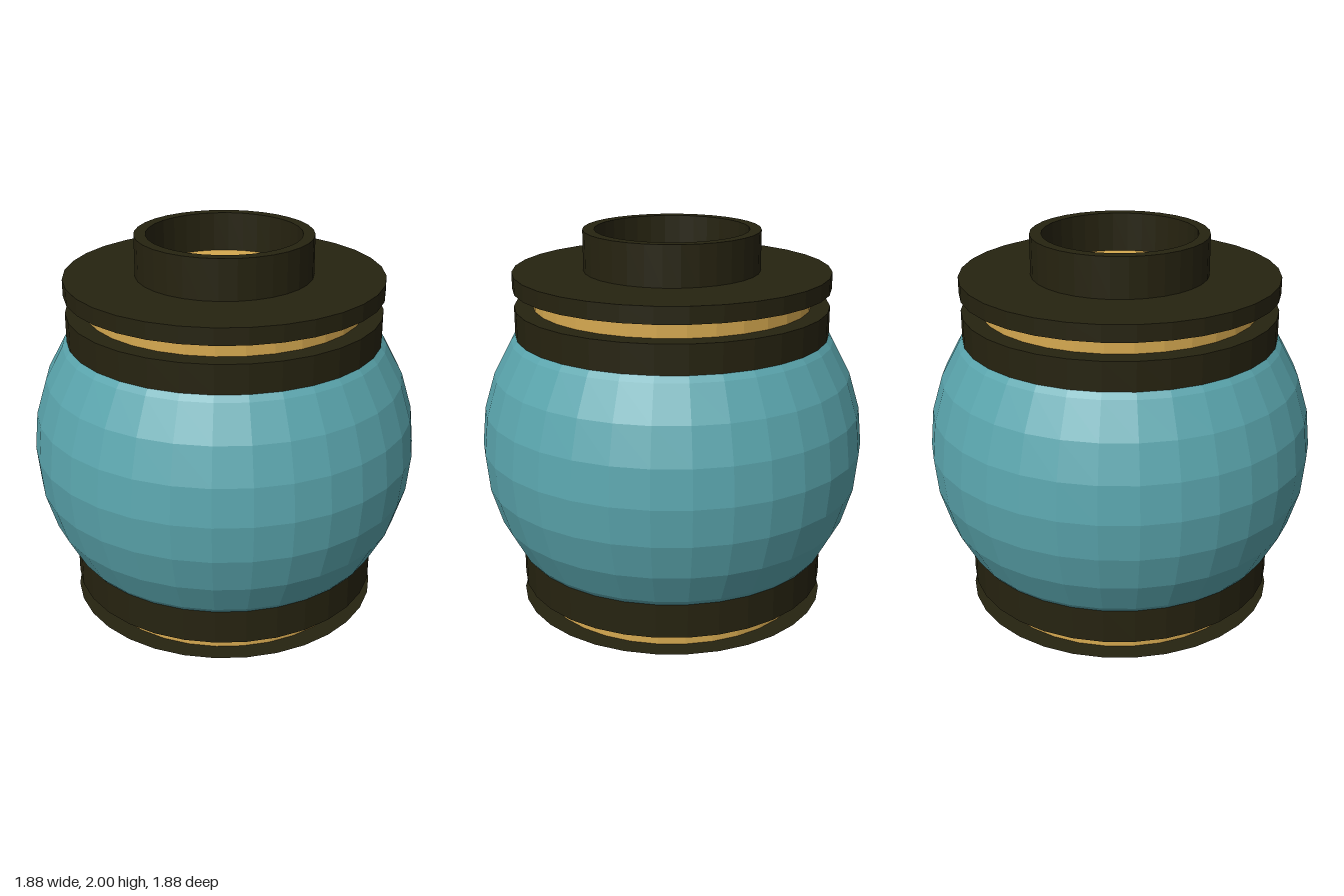
import * as THREE from 'three';

const SIDES = 32;

export function createModel() {
  const teal = new THREE.MeshStandardMaterial({ color: 0x5aa5ad });
  teal.name = 'teal';
  const gold = new THREE.MeshStandardMaterial({ color: 0xd6a950 });
  gold.name = 'gold';
  const dark = new THREE.MeshStandardMaterial({ color: 0x262310 });
  dark.name = 'darkBrown';

  const group = new THREE.Group();
  group.name = 'lantern';

  // Adds a part with faceted normals
  const add = (name, geometry, material) => {
    const faceted = geometry.toNonIndexed();
    faceted.computeVertexNormals();
    const mesh = new THREE.Mesh(faceted, material);
    mesh.name = name;
    group.add(mesh);
  };

  // Turned part from [radius, height] points, running up the outside
  const turned = (name, points, material) =>
    add(name, new THREE.LatheGeometry(points.map(([r, y]) => new THREE.Vector2(r, y)), SIDES), material);

  // Solid disc with flat ends
  const disc = (name, r, y0, y1, material) =>
    turned(name, [[0, y0], [r, y0], [r, y1], [0, y1]], material);

  // Globe: the middle rows of a sphere, its ends tucked inside the bands
  const globe = new THREE.SphereGeometry(0.94, SIDES, 8, 0, Math.PI * 2, Math.PI / 4, Math.PI / 2);
  globe.translate(0, 0.95, 0);
  add('globe', globe, teal);

  // Bands gripping the globe
  disc('lowerBand', 0.76, 0.23, 0.405, dark);
  disc('upperBand', 0.76, 1.5, 1.64, dark);

  // Gold necks between bands and flanges
  disc('lowerNeck', 0.67, 0.14, 0.235, gold);
  disc('upperNeck', 0.67, 1.635, 1.73, gold);

  // Base: bevelled flange, gold ring and foot
  turned('lowerFlange', [[0, 0.065], [0.59, 0.065], [0.765, 0.145], [0, 0.145]], dark);
  disc('footRing', 0.425, 0.025, 0.07, gold);
  disc('foot', 0.425, 0, 0.026, dark);

  // Top: flange, open collar and the gold floor within it
  disc('upperFlange', 0.765, 1.725, 1.805, dark);
  turned('collar', [[0.37, 1.8], [0.425, 1.8], [0.425, 2], [0.37, 2], [0.37, 1.8]], dark);
  disc('collarFloor', 0.37, 1.8, 1.81, gold);

  return group;
}
